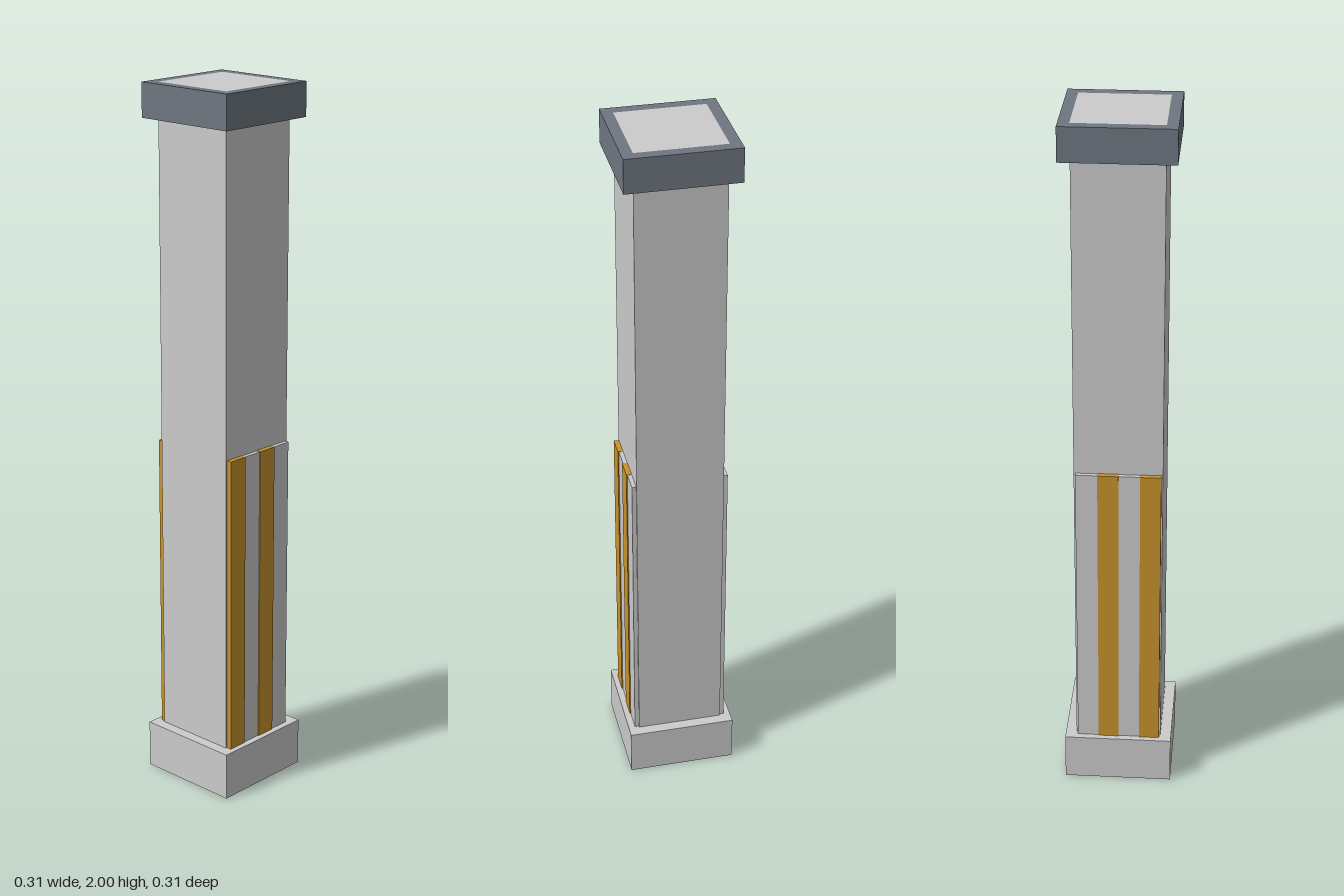
import * as THREE from 'three';

const grey = new THREE.MeshStandardMaterial({ color: 0xcccccc });
const slate = new THREE.MeshStandardMaterial({ color: 0x6f7781 });
const amber = new THREE.MeshStandardMaterial({ color: 0xc8922e });

// Box given by its centre in x and z and its bottom and top heights
function block(name, material, width, depth, bottom, top, x = 0, z = 0) {
  const mesh = new THREE.Mesh(new THREE.BoxGeometry(width, top - bottom, depth), material);
  mesh.position.set(x, (bottom + top) / 2, z);
  mesh.name = name;
  return mesh;
}

function squarePath(path, half) {
  path.moveTo(-half, -half);
  path.lineTo(half, -half);
  path.lineTo(half, half);
  path.lineTo(-half, half);
  path.closePath();
  return path;
}

export function createModel() {
  const model = new THREE.Group();
  model.name = 'pillar';
  const half = 0.123, outer = 0.154, baseTop = 0.137, panelTop = 1, capBottom = 1.905;

  model.add(block('base', grey, outer * 2, outer * 2, 0, baseTop));
  model.add(block('shaft', grey, half * 2, half * 2, baseTop, 2));

  // Square collar around the head of the shaft, flush with its top
  const collar = squarePath(new THREE.Shape(), outer);
  collar.holes.push(squarePath(new THREE.Path(), half));
  const capGeometry = new THREE.ExtrudeGeometry(collar, { depth: 2 - capBottom, bevelEnabled: false });
  capGeometry.rotateX(-Math.PI / 2);
  const cap = new THREE.Mesh(capGeometry, slate);
  cap.name = 'capCollar';
  cap.position.y = capBottom;
  model.add(cap);

  // Thin striped panels on the lower front and back
  for (const side of [1, -1]) {
    const panel = new THREE.Group();
    panel.name = side > 0 ? 'frontPanel' : 'backPanel';
    panel.add(block('panelBoard', grey, 0.236, 0.012, baseTop, panelTop, 0, side * (half + 0.006)));
    for (const x of [-0.09, 0.028]) {
      panel.add(block('stripe', amber, 0.058, 0.015, baseTop, panelTop + 0.001, x, side * (half + 0.0075)));
    }
    model.add(panel);
  }
  return model;
}
